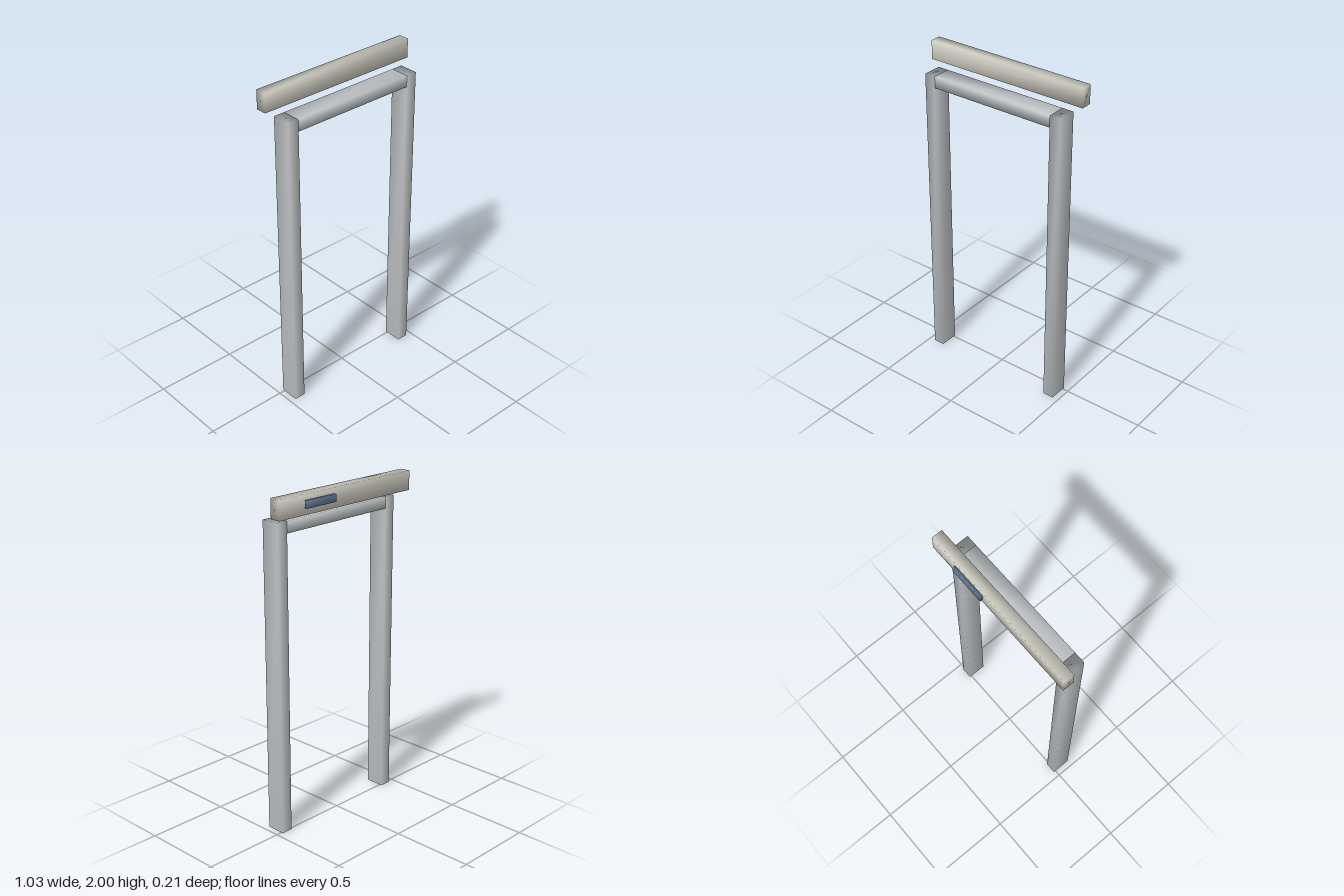
import * as THREE from 'three';
import { mergeVertices } from 'three/addons/utils/BufferGeometryUtils.js';

const frameMaterial = new THREE.MeshStandardMaterial({ color: 0xbcc0c2 });
const headerMaterial = new THREE.MeshStandardMaterial({ color: 0xcccabf });
const plateMaterial = new THREE.MeshStandardMaterial({ color: 0x5f7a96 });

// Box between two corners, with normals shared across its edges
function softBox(name, material, [x0, y0, z0], [x1, y1, z1]) {
  let geometry = new THREE.BoxGeometry(x1 - x0, y1 - y0, z1 - z0);
  geometry.deleteAttribute('normal');
  geometry.deleteAttribute('uv');
  geometry = mergeVertices(geometry);
  geometry.computeVertexNormals();
  const mesh = new THREE.Mesh(geometry, material);
  mesh.name = name;
  mesh.position.set((x0 + x1) / 2, (y0 + y1) / 2, (z0 + z1) / 2);
  return mesh;
}

export function createModel() {
  const model = new THREE.Group();
  model.name = 'doorFrame';

  const inner = 0.394, outer = 0.463, top = 1.854;
  const back = -0.013, front = 0.103;

  // Side posts
  model.add(softBox('rightPost', frameMaterial, [-outer, 0, back], [-inner, top, front]));
  model.add(softBox('leftPost', frameMaterial, [inner, 0, back], [outer, top, front]));

  // Lintel between the posts
  model.add(softBox('lintel', frameMaterial, [-inner, 1.785, back], [inner, top, front]));

  // Header beam above and behind the frame
  model.add(softBox('headerBeam', headerMaterial, [-0.516, 1.886, -0.085], [0.516, 2, -0.019]));

  // Small plate on the back of the header
  model.add(softBox('backPlate', plateMaterial, [0.109, 1.924, -0.103], [0.33, 1.967, -0.085]));

  return model;
}
